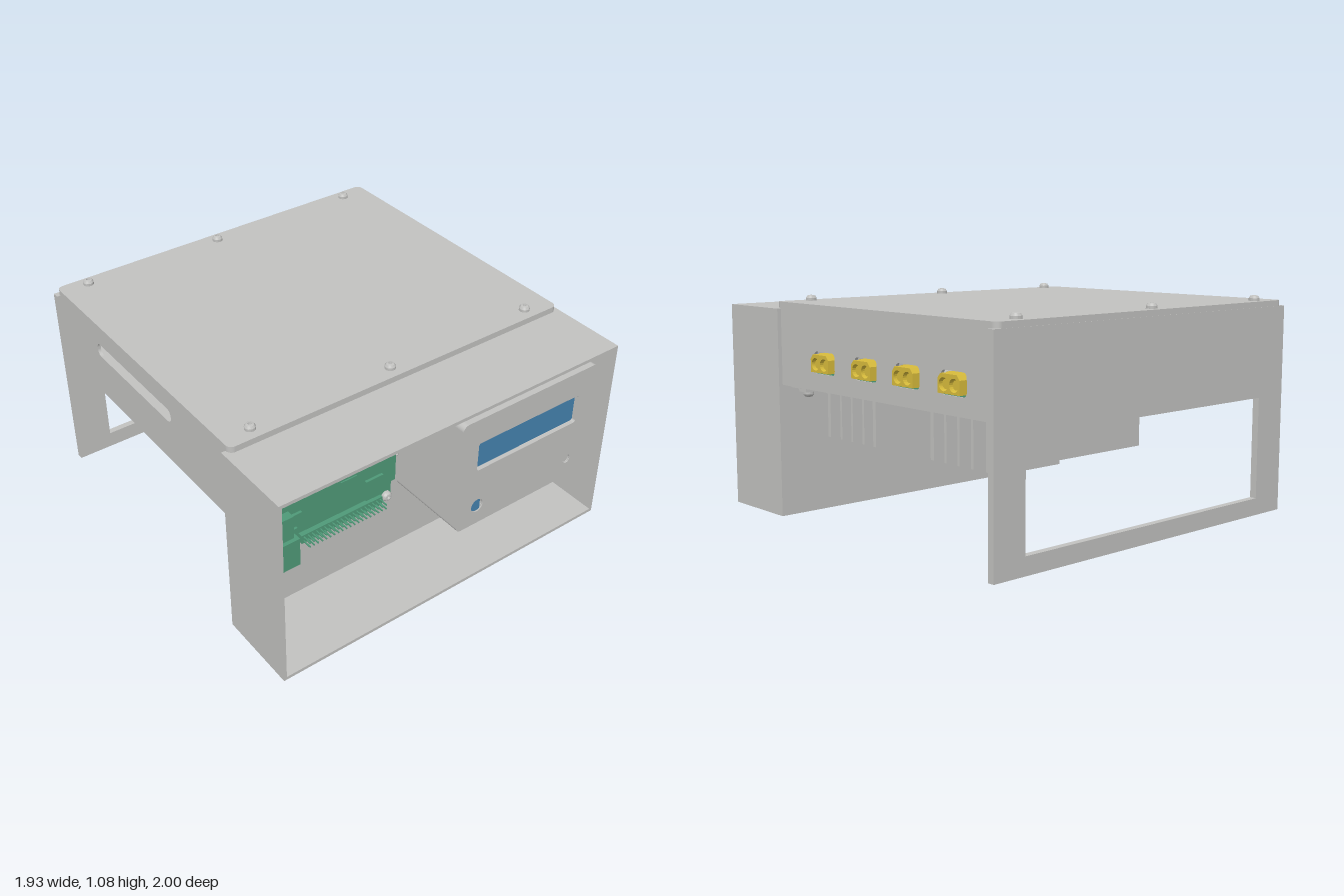
import * as THREE from 'three';
import { toCreasedNormals } from 'three/addons/utils/BufferGeometryUtils.js';

const mat = (name, color) => Object.assign(new THREE.MeshStandardMaterial({ color }), { name });

export function createModel() {
  const grey = mat('case grey', 0xc2c2c0);
  const green = mat('board green', 0x4f9a78);
  const blue = mat('display blue', 0x4583b0);
  const yellow = mat('connector yellow', 0xd8bc3c);
  const model = new THREE.Group();
  model.name = 'electronicsCase';

  const add = (name, geo, m, parent = model) => {
    const mesh = new THREE.Mesh(geo, m);
    mesh.name = name;
    parent.add(mesh);
    return mesh;
  };
  const group = (name) => {
    const g = new THREE.Group();
    g.name = name;
    model.add(g);
    return g;
  };
  // Box given by its limits on each axis
  const box = (name, x0, x1, y0, y1, z0, z1, m, parent) => {
    const mesh = add(name, new THREE.BoxGeometry(x1 - x0, y1 - y0, z1 - z0), m, parent);
    mesh.position.set((x0 + x1) / 2, (y0 + y1) / 2, (z0 + z1) / 2);
    return mesh;
  };
  // Rounded rectangle outline, also used for holes
  const rect = (x0, x1, y0, y1, r = 0, Type = THREE.Shape) => {
    const s = new Type();
    if (!r) return s.moveTo(x0, y0).lineTo(x1, y0).lineTo(x1, y1).lineTo(x0, y1).lineTo(x0, y0);
    s.moveTo(x0 + r, y0).lineTo(x1 - r, y0).absarc(x1 - r, y0 + r, r, -Math.PI / 2, 0);
    s.lineTo(x1, y1 - r).absarc(x1 - r, y1 - r, r, 0, Math.PI / 2);
    s.lineTo(x0 + r, y1).absarc(x0 + r, y1 - r, r, Math.PI / 2, Math.PI);
    s.lineTo(x0, y0 + r).absarc(x0 + r, y0 + r, r, Math.PI, Math.PI * 1.5);
    return s;
  };
  const hole = (x, y, r) => new THREE.Path().absarc(x, y, r, 0, Math.PI * 2);
  const slab = (shape, holes, depth) => {
    shape.holes.push(...holes);
    return new THREE.ExtrudeGeometry(shape, { depth, bevelEnabled: false, curveSegments: 10 });
  };
  // Plate drawn in x,y and extruded towards +z from z0
  const frontPlate = (name, shape, holes, z0, depth, m, parent) => {
    add(name, slab(shape, holes, depth), m, parent).position.z = z0;
  };
  // Plate drawn in z,y and extruded towards -x from x1
  const sidePlate = (name, shape, holes, x1, depth, m, parent) => {
    add(name, slab(shape, holes, depth).rotateY(-Math.PI / 2), m, parent).position.x = x1;
  };

  // Pan-head screw with a small socket, pointing up, front or down
  const screwGeo = toCreasedNormals(new THREE.LatheGeometry(
    [[0.026, 0], [0.026, 0.013], [0.019, 0.024], [0.009, 0.027], [0.007, 0.014], [0, 0.014]]
      .map(([x, y]) => new THREE.Vector2(x, y)), 16), 0.5);
  const screw = (name, x, y, z, tilt = 0, parent = model) => {
    const s = add(name, screwGeo, grey, parent);
    s.position.set(x, y, z);
    s.rotation.x = tilt;
  };

  // Front compartment, open to the front
  const front = group('frontBox');
  frontPlate('frontShell', rect(-0.965, 0.955, 0, 1.02), [rect(-0.95, 0.94, 0.017, 1.003, 0, THREE.Path)], 0.55, 0.423, grey, front);
  box('frontBoxBackWall', -0.952, 0.942, 0.015, 1.005, 0.55, 0.57, grey, front);

  // Rear compartment: lid, floor, side walls with cut-outs
  const rear = group('rearBox');
  const lid = slab(rect(-0.945, 0.935, -0.585, 0.998, 0.03), [], 0.03).rotateX(-Math.PI / 2);
  add('lid', lid, grey, rear).position.y = 1.023;
  box('rearFloor', -0.945, 0.935, 0.65, 0.665, -0.967, 0.55, grey, rear);
  box('rearBoxFrontWall', -0.93, 0.92, 0.66, 1.023, 0.535, 0.55, grey, rear);
  const ports = [0.19, -0.13, -0.43, -0.735];
  sidePlate('leftWall', rect(-0.967, 0.55, 0.65, 1.025),
    ports.map((z) => rect(z - 0.082, z + 0.082, 0.733, 0.836, 0.022, THREE.Path)), 0.935, 0.016, grey, rear);
  sidePlate('rightWall', rect(-0.967, 0.55, 0.65, 1.025),
    [rect(-0.6, 0.09, 0.875, 0.945, 0.03, THREE.Path)], -0.929, 0.016, grey, rear);
  for (const x of [-0.8, -0.045, 0.78]) for (const z of [-0.94, 0.52]) screw('lidScrew', x, 1.053, z, 0, rear);

  // Back panel that doubles as a support frame
  frontPlate('backFrame', rect(-0.965, 0.955, 0, 1.025), [rect(-0.78, 0.78, 0.085, 0.585, 0, THREE.Path)], -1, 0.034, grey);

  // Power connectors with two round sockets each
  for (const z of ports) {
    const c = group('powerConnector');
    const body = new THREE.Shape([[-0.07, 0.743], [0.07, 0.743], [0.07, 0.805], [0.052, 0.826], [-0.052, 0.826], [-0.07, 0.805]]
      .map(([u, y]) => new THREE.Vector2(z + u, y)));
    sidePlate('connectorBody', body, [hole(z - 0.033, 0.781, 0.029), hole(z + 0.033, 0.781, 0.029)], 0.963, 0.05, yellow, c);
    box('connectorBase', 0.85, 0.915, 0.743, 0.826, z - 0.07, z + 0.07, yellow, c);
    for (const s of [-1, 1]) {
      const pin = add('connectorPin', new THREE.CylinderGeometry(0.021, 0.021, 0.04, 16).rotateZ(Math.PI / 2), yellow, c);
      pin.position.set(0.93, 0.781, z + s * 0.033);
    }
    box('connectorBoard', 0.84, 0.932, 0.734, 0.743, z - 0.078, z + 0.078, green, c);
  }

  // Two heat sinks: fins below the floor, flared at the root
  for (const fins of [[0.37, 0.272, 0.184, 0.094, 0.007], [-0.415, -0.505, -0.592, -0.682, -0.78]]) {
    const sink = group('heatSink');
    fins.forEach((z, i) => {
      const w = i % 4 ? 0.007 : 0.011;
      const top = i % 4 ? 0.017 : 0.013;
      const fin = new THREE.Shape([[-w, 0.4], [w, 0.4], [w, 0.625], [top, 0.652], [-top, 0.652], [-w, 0.625]]
        .map(([u, y]) => new THREE.Vector2(z + u, y)));
      sidePlate('heatSinkFin', fin, [], 0.79, 0.935, grey, sink);
    });
  }

  // Corner brackets joining the floor to the front and back walls
  for (const x of [-0.83, 0.81]) for (const [z, s] of [[0.55, 1], [-0.966, -1]]) {
    const b = group('cornerBracket');
    const span = (a, c) => [Math.min(z - s * a, z - s * c), Math.max(z - s * a, z - s * c)];
    box('bracketPlate', x - 0.075, x + 0.075, 0.634, 0.65, ...span(0, 0.075), grey, b);
    box('bracketBlock', x - 0.035, x + 0.035, 0.61, 0.65, ...span(0.005, 0.065), grey, b);
    screw('bracketScrew', x, 0.61, z - s * 0.035, Math.PI, b);
    screw('floorScrew', x, 0.65, z - s * 0.1, Math.PI, b);
  }

  // Display housing with window, knob hole and button hole
  const d = group('displayHousing');
  frontPlate('housingBody', rect(-0.02, 0.8, 0.387, 1.0, 0.03),
    [rect(0, 0.78, 0.407, 0.98, 0.02, THREE.Path)], 0.57, 0.41, grey, d);
  frontPlate('housingFace', rect(-0.02, 0.8, 0.387, 1.0, 0.03),
    [rect(0.08, 0.695, 0.708, 0.862, 0.012, THREE.Path), hole(0.1, 0.495, 0.036), hole(0.67, 0.495, 0.024)], 0.975, 0.025, grey, d);
  box('displayScreen', 0.06, 0.715, 0.69, 0.88, 0.94, 0.978, blue, d);
  box('housingLiner', 0, 0.78, 0.407, 0.66, 0.93, 0.945, grey, d);
  box('knob', 0.078, 0.122, 0.462, 0.528, 0.94, 0.994, blue, d);
  for (const [x, r] of [[0.1, 0.036], [0.67, 0.024]]) {
    add('holeRim', new THREE.TorusGeometry(r + 0.002, 0.004, 6, 24), grey, d).position.set(x, 0.495, 0.996);
  }
  add('button', new THREE.CylinderGeometry(0.02, 0.02, 0.05, 20).rotateX(Math.PI / 2), grey, d).position.set(0.67, 0.495, 0.966);
  for (const y of [0.63, 0.842]) for (const [x, a, b] of [[-0.068, -0.11, -0.02], [0.845, 0.8, 0.89]]) {
    box('housingTab', a, b, y - 0.043, y + 0.043, 0.57, 0.59, grey, d);
    screw('housingScrew', x, y, 0.59, Math.PI / 2, d);
  }

  // Computer board on standoffs
  const p = group('computerBoard');
  const mounts = [];
  for (const x of [-0.675, -0.143]) for (const y of [0.43, 0.882]) mounts.push([x, y]);
  frontPlate('circuitBoard', rect(-0.88, -0.113, 0.402, 0.913, 0.027), [], 0.622, 0.014, green, p);
  for (const [x, y] of mounts) {
    add('standoff', new THREE.CylinderGeometry(0.026, 0.026, 0.052, 16).rotateX(Math.PI / 2), grey, p).position.set(x, y, 0.596);
    screw('boardScrew', x, y, 0.636, Math.PI / 2, p);
  }
  // Stacked sockets with openings towards the right side
  for (const [name, x1, y0, y1, rows] of [['usbPort', -0.765, 0.772, 0.89, 2], ['usbPort', -0.765, 0.605, 0.727, 2], ['networkPort', -0.725, 0.415, 0.567, 1]]) {
    const z1 = rows === 2 ? 0.782 : 0.768;
    const step = (z1 - 0.645) / rows;
    const openings = Array.from({ length: rows }, (_, i) =>
      rect(0.647 + i * step, 0.633 + (i + 1) * step, y0 + 0.012, y1 - 0.012, 0, THREE.Path));
    sidePlate(name, rect(0.636, z1, y0, y1), openings, -0.86, 0.065, green, p);
    box(name + 'Rear', -0.861, x1, y0, y1, 0.636, z1, green, p);
  }
  // Chips, sockets and ribbon clips: x range, y range, height
  const parts = [
    ['processor', -0.44, -0.318, 0.55, 0.675, 0.02], ['processorCap', -0.425, -0.333, 0.565, 0.66, 0.026],
    ['controllerChip', -0.68, -0.63, 0.535, 0.588, 0.014], ['powerChip', -0.69, -0.655, 0.465, 0.505, 0.012],
    ['memoryChip', -0.27, -0.17, 0.465, 0.578, 0.014], ['videoPort', -0.503, -0.447, 0.865, 0.927, 0.035],
    ['videoPort', -0.38, -0.323, 0.865, 0.927, 0.035], ['supplyPort', -0.255, -0.178, 0.853, 0.925, 0.035],
    ['audioPort', -0.638, -0.577, 0.805, 0.915, 0.06], ['ribbonClip', -0.55, -0.525, 0.705, 0.908, 0.05],
    ['ribbonClip', -0.157, -0.13, 0.555, 0.755, 0.05], ['pinHeader', -0.642, -0.182, 0.41, 0.457, 0.025],
  ];
  for (const [name, x0, x1, y0, y1, h] of parts) box(name, x0, x1, y0, y1, 0.634, 0.636 + h, green, p);
  add('audioBarrel', new THREE.CylinderGeometry(0.025, 0.025, 0.03, 16), green, p).position.set(-0.607, 0.922, 0.666);
  for (let i = 0; i < 20; i++) for (const y of [0.422, 0.445]) {
    const x = -0.63 + i * 0.0229;
    box('pin', x - 0.003, x + 0.003, y - 0.003, y + 0.003, 0.66, 0.71, green, p);
  }
  return model;
}
